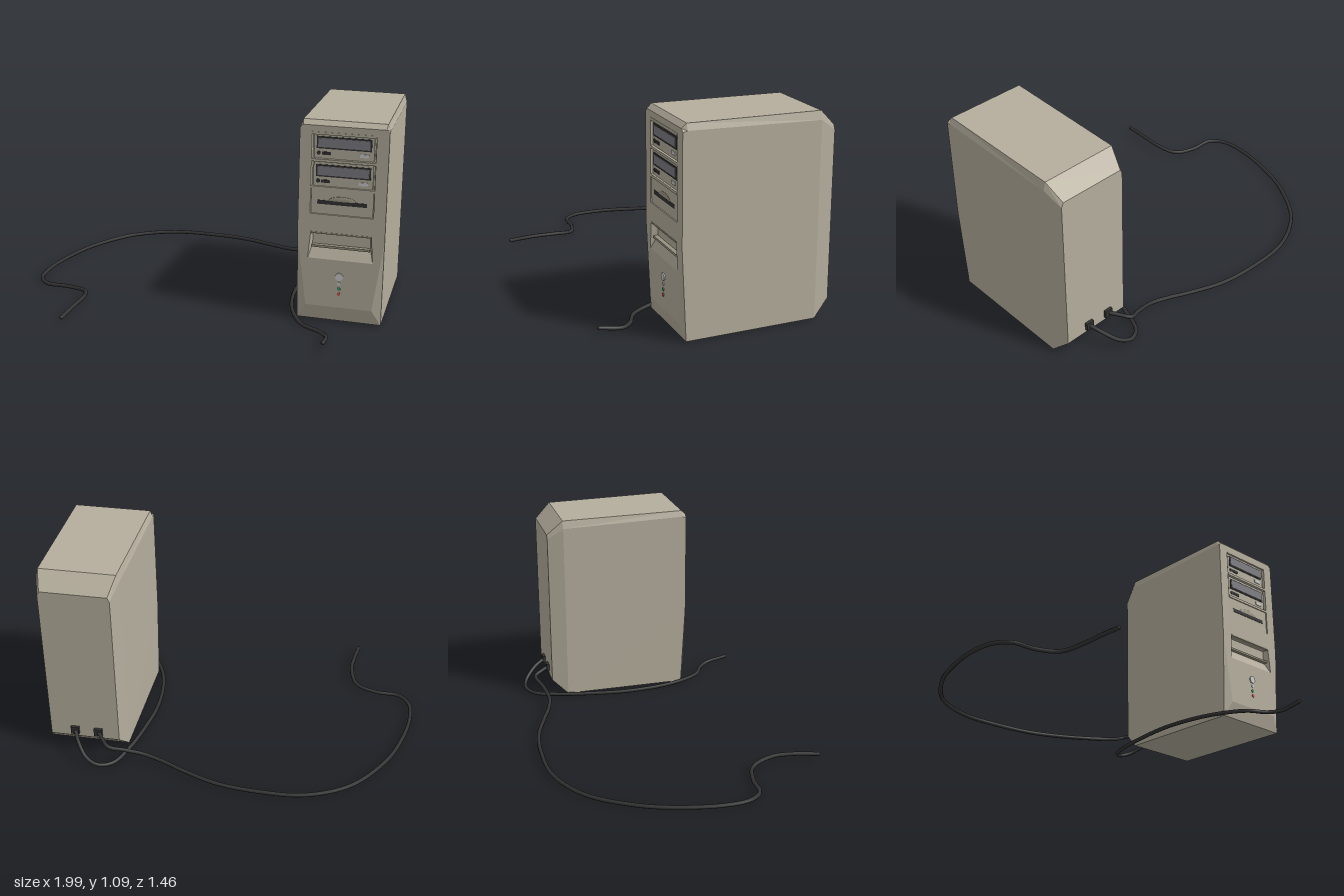
import * as THREE from 'three';

const CX = 0.767; // centre line of the tower
const FRONT = 0.315; // front face of the tower

const mat = (color, extra = {}) => new THREE.MeshStandardMaterial({ color, ...extra });
const beige = mat(0xb5ae9d, { flatShading: true });
const beigeDark = mat(0x979180, { flatShading: true });
const black = mat(0x333333);
const slate = mat(0x7c7c82);
const white = mat(0xd8d8d8);
const green = mat(0x3f9a68);
const red = mat(0xc8544c);

function add(parent, name, geometry, material, x = 0, y = 0, z = 0) {
  const mesh = new THREE.Mesh(geometry, material);
  mesh.name = name;
  mesh.position.set(x, y, z);
  parent.add(mesh);
  return mesh;
}

// Box given by its centre x, y range and z range
function slab(parent, name, material, x, w, y0, y1, z0, z1) {
  return add(parent, name, new THREE.BoxGeometry(w, y1 - y0, z1 - z0), material, x, (y0 + y1) / 2, (z0 + z1) / 2);
}

// Round button or lamp facing the front
function knob(parent, name, material, x, y, r, z0, z1) {
  const g = new THREE.CylinderGeometry(r, r, z1 - z0, 20).rotateX(Math.PI / 2);
  return add(parent, name, g, material, x, y, (z0 + z1) / 2);
}

// Eight-point tower section: bottom half width, waist, shoulder and top
function section(z, b, y0, m, ym, ys, t, yt) {
  return [[-b, y0], [b, y0], [m, ym], [m, ys], [t, yt], [-t, yt], [-m, ys], [-m, ym]]
    .map(([x, y]) => new THREE.Vector3(x, y, z));
}

const rect = (z, b, t, y0, y1) =>
  [[-b, y0], [b, y0], [t, y1], [-t, y1]].map(([x, y]) => new THREE.Vector3(x, y, z));

// Skin between neighbouring sections, ordered back to front
function loft(rings) {
  const pts = [];
  for (let k = 0; k + 1 < rings.length; k++) {
    const a = rings[k], f = rings[k + 1], n = a.length;
    for (let i = 0; i < n; i++) {
      const j = (i + 1) % n;
      if (i < n / 2) pts.push(a[i], a[j], f[j], a[i], f[j], f[i]);
      else pts.push(a[i], a[j], f[i], a[j], f[j], f[i]);
    }
  }
  const g = new THREE.BufferGeometry().setFromPoints(pts);
  g.computeVertexNormals();
  return g;
}

const flat = (ring, holes = []) => {
  const shape = new THREE.Shape(ring.map(p => new THREE.Vector2(p.x, p.y)));
  holes.forEach(h => shape.holes.push(new THREE.Path(h.map(p => new THREE.Vector2(p.x, p.y)))));
  return new THREE.ShapeGeometry(shape);
};

function buildCase() {
  const g = new THREE.Group();
  g.name = 'towerCase';
  const rings = [
    section(-0.51, 0.192, 0.09, 0.192, 0.48, 0.975, 0.18, 1.0),
    section(-0.42, 0.22, 0.004, 0.22, 0.48, 1.04, 0.208, 1.085),
    section(0.29, 0.223, 0.004, 0.227, 0.48, 1.06, 0.214, 1.094),
    section(FRONT, 0.175, 0.09, 0.227, 0.48, 1.055, 0.21, 1.07),
  ];
  // Recesses: drive bays above, sloped finger slot below
  const recesses = [
    { name: 'driveBay', front: rect(FRONT, 0.164, 0.164, 0.6, 1.036), floor: rect(0.295, 0.16, 0.16, 0.604, 1.032) },
    { name: 'fingerSlot', front: rect(FRONT, 0.17, 0.157, 0.355, 0.502), floor: rect(0.282, 0.152, 0.15, 0.42, 0.492) },
  ];
  add(g, 'shell', loft(rings), beige);
  add(g, 'backPanel', flat(rings[0]).rotateY(Math.PI), beige, 0, 0, -0.51);
  add(g, 'frontPanel', flat(rings[3], recesses.map(r => r.front)), beige, 0, 0, FRONT);
  for (const r of recesses) {
    add(g, r.name + 'Walls', loft([[...r.floor].reverse(), [...r.front].reverse()]), beige);
    add(g, r.name + 'Floor', flat(r.floor), beige, 0, 0, r.floor[0].z);
  }
  slab(g, 'slotLip', beigeDark, 0, 0.305, 0.414, 0.426, 0.282, 0.306);
  slab(g, 'slotTopEdge', beigeDark, 0, 0.312, 0.494, 0.502, 0.29, 0.317);
  return g;
}

// Disc drive with tray window, jack, dial and eject button; top is its upper edge
function buildDrive(name, top) {
  const g = new THREE.Group();
  g.name = name;
  slab(g, 'driveFace', beige, 0, 0.306, top - 0.136, top - 0.008, 0.295, 0.306);
  slab(g, 'trayFrame', black, 0, 0.28, top - 0.084, top - 0.02, 0.3, 0.309);
  slab(g, 'trayDoor', slate, 0, 0.264, top - 0.076, top - 0.028, 0.3, 0.312);
  const y = top - 0.108;
  knob(g, 'headphoneJack', black, -0.129, y, 0.01, 0.3, 0.309);
  slab(g, 'volumeDial', black, -0.091, 0.042, y - 0.008, y + 0.008, 0.3, 0.31);
  slab(g, 'ejectButton', white, 0.104, 0.046, y - 0.009, y + 0.009, 0.3, 0.31);
  return g;
}

function buildFloppy() {
  const g = new THREE.Group();
  g.name = 'floppyDrive';
  slab(g, 'floppyFace', beige, 0, 0.32, 0.602, 0.736, 0.295, 0.311);
  slab(g, 'floppySlot', black, 0, 0.256, 0.655, 0.676, 0.3, 0.313);
  const bump = new THREE.SphereGeometry(1, 24, 8, 0, Math.PI * 2, 0, Math.PI / 2).scale(0.07, 0.024, 0.006);
  add(g, 'fingerBump', bump, beigeDark, 0, 0.676, 0.311);
  return g;
}

// Plug on the back with its cable running along the floor
function buildCable(name, x, path) {
  const g = new THREE.Group();
  g.name = name;
  slab(g, 'plug', black, x, 0.045, 0.11, 0.155, -0.526, -0.5);
  const curve = new THREE.CatmullRomCurve3(path.map(p => new THREE.Vector3(...p)));
  add(g, 'cord', new THREE.TubeGeometry(curve, path.length * 10, 0.011, 8), black);
  const tip = new THREE.SphereGeometry(0.011, 8, 6);
  const end = path[path.length - 1];
  add(g, 'cordTip', tip, black, ...end);
  return g;
}

export function createModel() {
  const model = new THREE.Group();
  model.name = 'computerTower';

  const tower = new THREE.Group();
  tower.name = 'tower';
  tower.position.x = CX;
  tower.add(buildCase(), buildDrive('upperDrive', 1.033), buildDrive('lowerDrive', 0.885), buildFloppy());
  for (const y of [1.031, 0.889, 0.744]) slab(tower, 'bayLedge', beige, 0, 0.328, y - 0.008, y + 0.006, 0.295, 0.317);

  // Power button and lamps
  knob(tower, 'powerButton', white, 0, 0.264, 0.021, 0.31, 0.321);
  [[white, 0.226], [green, 0.196], [red, 0.168]].forEach(([m, y]) => knob(tower, 'lamp', m, 0, y, 0.009, 0.31, 0.319));
  model.add(tower);

  model.add(buildCable('longCable', 0.69, [
    [0.69, 0.132, -0.515], [0.655, 0.125, -0.56], [0.61, 0.112, -0.607], [0.53, 0.08, -0.578], [0.42, 0.05, -0.56],
    [0.31, 0.036, -0.585], [0.2, 0.03, -0.63], [0, 0.026, -0.7], [-0.22, 0.024, -0.724], [-0.47, 0.021, -0.707],
    [-0.7, 0.018, -0.59], [-0.87, 0.016, -0.36], [-0.94, 0.015, -0.18], [-0.985, 0.015, 0.05], [-0.972, 0.015, 0.2],
    [-0.91, 0.015, 0.272], [-0.78, 0.016, 0.283], [-0.66, 0.024, 0.33], [-0.615, 0.042, 0.45],
    [-0.62, 0.042, 0.58], [-0.635, 0.03, 0.71],
  ]));
  model.add(buildCable('shortCable', 0.82, [
    [0.82, 0.132, -0.515], [0.785, 0.1, -0.58], [0.725, 0.05, -0.643], [0.66, 0.025, -0.66], [0.59, 0.014, -0.62],
    [0.53, 0.012, -0.47], [0.483, 0.012, -0.24], [0.465, 0.012, -0.08], [0.478, 0.012, 0.12], [0.522, 0.012, 0.28],
    [0.6, 0.012, 0.41], [0.7, 0.012, 0.47], [0.745, 0.018, 0.53], [0.752, 0.04, 0.65],
  ]));
  return model;
}
